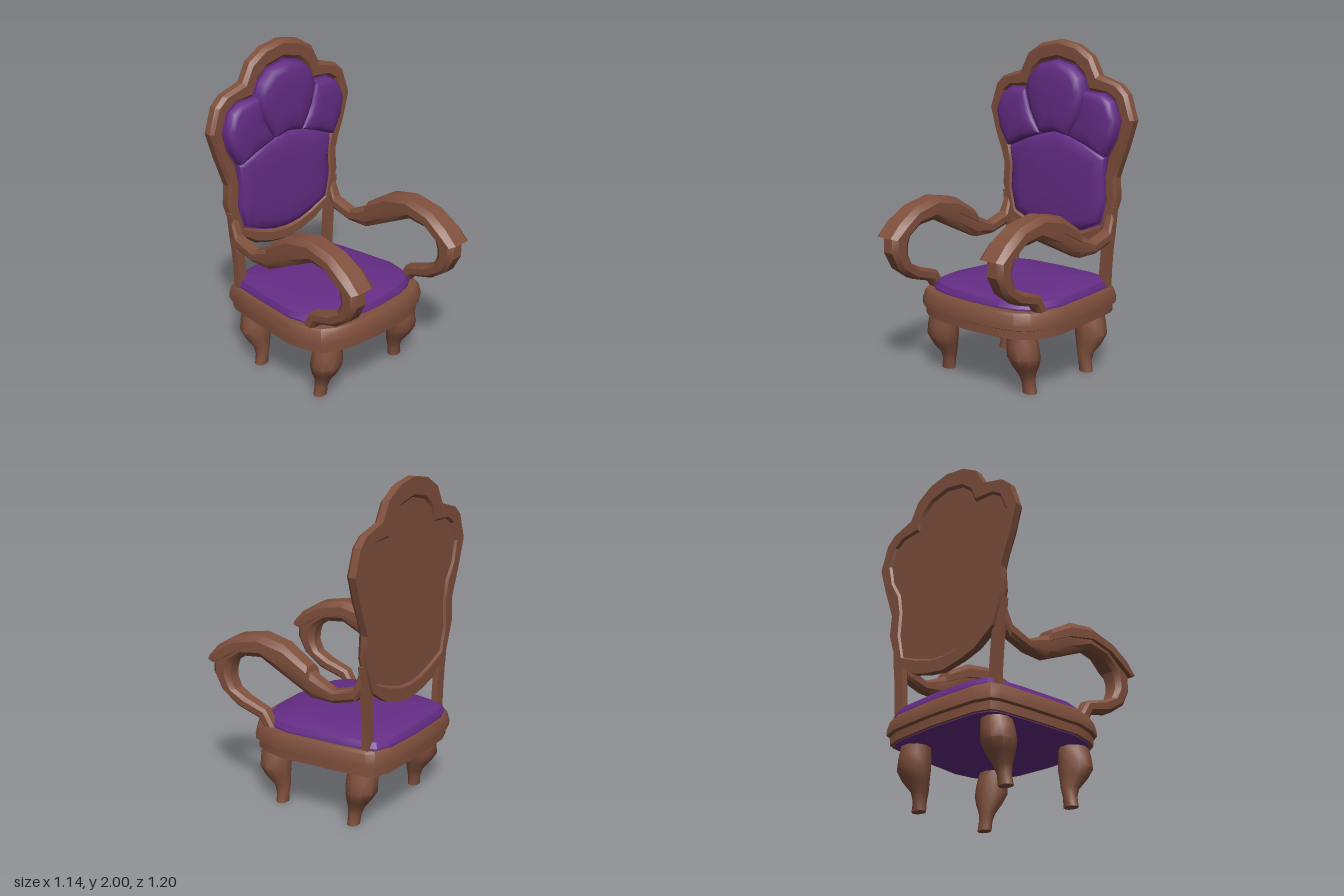
import * as THREE from 'three';
import { toCreasedNormals } from 'three/addons/utils/BufferGeometryUtils.js';

const wood = new THREE.MeshStandardMaterial({ color: 0x80503d });
wood.name = 'brown wood';
const fabric = new THREE.MeshStandardMaterial({ color: 0x652d86 });
fabric.name = 'purple fabric';

// Skin over a list of equal-sized point rings; ends are capped unless the rings form a closed loop
function loft(rings, crease = 0.6, closed = false) {
  const tris = [];
  const n = rings[0].length;
  const last = closed ? rings.length : rings.length - 1;
  for (let i = 0; i < last; i++) {
    const a = rings[i], b = rings[(i + 1) % rings.length];
    for (let j = 0; j < n; j++) {
      const k = (j + 1) % n;
      tris.push([a[j], a[k], b[k]], [a[j], b[k], b[j]]);
    }
  }
  if (!closed) {
    for (const [ring, flip] of [[rings[0], true], [rings[rings.length - 1], false]]) {
      const c = ring.reduce((s, p) => s.add(p), new THREE.Vector3()).divideScalar(n);
      for (let j = 0; j < n; j++) {
        const k = (j + 1) % n;
        tris.push(flip ? [ring[k], ring[j], c] : [ring[j], ring[k], c]);
      }
    }
  }
  // Turn the skin outward if its signed volume is negative
  const cross = new THREE.Vector3();
  const volume = tris.reduce((v, [a, b, c]) => v + a.dot(cross.crossVectors(b, c)), 0);
  const pts = tris.flatMap(t => (volume < 0 ? [t[0], t[2], t[1]] : t));
  const g = new THREE.BufferGeometry().setFromPoints(pts);
  return toCreasedNormals(g, crease);
}

const V = (x, y, z) => new THREE.Vector3(x, y, z);

// Full outline from a right half that starts and ends on the centre line
const mirrorHalf = half => [...half, ...half.slice(1, -1).reverse().map(([x, y]) => [-x, y])];

// Padded cushion rising towards +z from a flat outline
function puff(outline, zBack, zFront) {
  const n = outline.length;
  const cx = outline.reduce((s, p) => s + p[0], 0) / n;
  const cy = outline.reduce((s, p) => s + p[1], 0) / n;
  const steps = [[1, 0], [0.985, 0.45], [0.93, 0.75], [0.78, 0.92], [0.45, 1]];
  return loft(steps.map(([s, t]) => outline.map(([x, y]) =>
    V(cx + (x - cx) * s, cy + (y - cy) * s, zBack + (zFront - zBack) * t))), 0.9);
}

export function createModel() {
  const model = new THREE.Group();
  model.name = 'armchair';
  const add = (name, geometry, material = wood) => {
    const mesh = new THREE.Mesh(geometry, material);
    mesh.name = name;
    model.add(mesh);
  };

  // Seat: one outline, reused for frame, cushion and underside
  const seat = mirrorHalf([[0, 0.385], [0.23, 0.37], [0.36, 0.335], [0.44, 0.28], [0.475, 0.2],
    [0.502, 0.07], [0.465, -0.3], [0.435, -0.5], [0.41, -0.55], [0.31, -0.585], [0, -0.6]]);
  const seatRings = (levels, zc) => levels.map(([y, s]) =>
    seat.map(([x, z]) => V(x * s, y, (z + 0.11) * s + zc)));
  add('seatFrame', loft(seatRings([[0.362, 0.965], [0.412, 0.965], [0.42, 1], [0.45, 1],
    [0.5, 0.975], [0.516, 0.955]], -0.11), 0.4));
  add('seatCushion', loft(seatRings([[0.5, 0.91], [0.525, 0.91], [0.558, 0.875], [0.575, 0.8],
    [0.588, 0.4]], -0.135), 0.5), fabric);
  add('seatUnderside', loft(seatRings([[0.357, 0.93], [0.364, 0.93]], -0.11)), fabric);

  // Cabriole legs: y, centre x, centre z, radius x, radius z
  const legLevels = [[0.37, 0.315, 0.22, 0.085, 0.088], [0.3, 0.325, 0.217, 0.095, 0.095],
    [0.23, 0.332, 0.215, 0.1, 0.096], [0.17, 0.33, 0.198, 0.08, 0.076], [0.11, 0.322, 0.174, 0.05, 0.052],
    [0.06, 0.327, 0.167, 0.04, 0.04], [0, 0.335, 0.165, 0.046, 0.036]];
  for (const s of [1, -1]) {
    for (const front of [true, false]) {
      const rings = legLevels.map(([y, cx, cz, rx, rz]) => Array.from({ length: 10 }, (_, i) => {
        const a = (i / 10) * Math.PI * 2;
        const z = cz + rz * Math.sin(a);
        return V(s * (cx + rx * Math.cos(a)), y, front ? z : -0.19 - z);
      }));
      add(front ? 'frontLeg' : 'backLeg', loft(rings, 0.8));
    }
  }

  // Back frame: a bevelled profile swept between the outer and inner outlines
  const outer = mirrorHalf([[0, 2], [0.14, 1.975], [0.25, 1.91], [0.31, 1.8], [0.46, 1.755], [0.52, 1.7],
    [0.57, 1.55], [0.52, 1.39], [0.475, 1.27], [0.45, 1.2], [0.46, 1.07], [0.39, 0.86],
    [0.25, 0.765], [0.13, 0.73], [0, 0.71]]);
  const inner = mirrorHalf([[0, 1.885], [0.13, 1.855], [0.205, 1.79], [0.24, 1.705], [0.37, 1.7],
    [0.435, 1.66], [0.482, 1.55], [0.457, 1.43], [0.392, 1.325], [0.37, 1.2], [0.38, 1.05],
    [0.345, 0.9], [0.22, 0.85], [0.105, 0.815], [0, 0.805]]);
  const between = (t, z) => outer.map(([x, y], i) =>
    V(x + (inner[i][0] - x) * t, y + (inner[i][1] - y) * t, z));
  add('backFrame', loft([[0, -0.518], [0, -0.475], [0.2, -0.453], [0.8, -0.453], [1, -0.472], [1, -0.505],
    [0.85, -0.518]].map(([t, z]) => between(t, z)), 0.4, true));
  add('backPanel', loft([between(0.98, -0.504), between(0.98, -0.485)]));
  add('backLining', loft([between(0.99, -0.484), between(0.99, -0.465)]), fabric);

  // Back upholstery: broad lower pad, central lobe and two side lobes
  add('lowerBackCushion', puff(mirrorHalf([[0, 1.445], [0.18, 1.4], [0.383, 1.315], [0.363, 1.2],
    [0.372, 1.05], [0.338, 0.91], [0.215, 0.855], [0.105, 0.822], [0, 0.812]]), -0.468, -0.418), fabric);
  add('centreBackLobe', puff(mirrorHalf([[0, 1.878], [0.13, 1.848], [0.2, 1.785], [0.228, 1.7],
    [0.2, 1.58], [0.155, 1.49], [0.11, 1.42], [0, 1.44]]), -0.468, -0.388), fabric);
  const sideLobe = [[0.228, 1.7], [0.36, 1.695], [0.432, 1.655], [0.476, 1.55], [0.45, 1.43],
    [0.385, 1.318], [0.25, 1.375], [0.112, 1.42], [0.155, 1.49], [0.2, 1.58]];
  for (const s of [1, -1]) {
    add('sideBackLobe', puff(sideLobe.map(([x, y]) => [s * x, y]), -0.468, -0.398), fabric);
  }

  // Arms: stations give upper z, y, lower z, y and half width
  const railStations = [[-0.46, 0.99, -0.48, 0.87, 0.03], [-0.42, 0.885, -0.43, 0.805, 0.036],
    [-0.28, 0.84, -0.29, 0.768, 0.04], [-0.1, 0.925, -0.14, 0.77, 0.045], [0.05, 1.03, 0.03, 0.85, 0.05],
    [0.22, 1.065, 0.22, 0.94, 0.055], [0.39, 1.025, 0.35, 0.925, 0.06], [0.51, 0.95, 0.43, 0.87, 0.06],
    [0.572, 0.87, 0.449, 0.815, 0.06], [0.575, 0.785, 0.45, 0.76, 0.059], [0.52, 0.68, 0.42, 0.7, 0.055],
    [0.405, 0.6, 0.34, 0.66, 0.048], [0.245, 0.555, 0.2, 0.615, 0.04], [0.205, 0.49, 0.13, 0.5, 0.035]];
  const padStations = [[-0.115, 0.95, -0.135, 0.87, 0.06], [0.05, 1.05, 0.03, 0.95, 0.065],
    [0.22, 1.08, 0.22, 0.995, 0.075], [0.4, 1.04, 0.37, 0.965, 0.083], [0.52, 0.965, 0.47, 0.9, 0.092],
    [0.6, 0.88, 0.54, 0.86, 0.088]];
  // Cross-sections: side position (-1..1) and fraction from upper to lower edge
  const railSection = [[-0.6, 0], [0.6, 0], [1, 0.25], [1, 0.75], [0.6, 1], [-0.6, 1], [-1, 0.75], [-1, 0.25]];
  const padSection = [[-0.6, 0], [0.6, 0], [1, 0.4], [1, 1], [-1, 1], [-1, 0.4]];
  const armRings = (stations, section, s) => stations.map(([uz, uy, lz, ly, w]) =>
    section.map(([x, t]) => V(s * (0.417 + x * w), uy + (ly - uy) * t, uz + (lz - uz) * t)));
  const postLevels = [[0.5, 0.378], [0.62, 0.38], [0.76, 0.39], [0.88, 0.405], [1.02, 0.418]];
  for (const s of [1, -1]) {
    add('armRail', loft(armRings(railStations, railSection, s), 0.5));
    add('armPad', loft(armRings(padStations, padSection, s), 0.4));
    // Post joining the seat to the back frame
    add('backPost', loft(postLevels.map(([y, x]) => [[-1, -0.498], [1, -0.498], [1, -0.457], [-1, -0.457]]
      .map(([e, z]) => V(s * (x + e * 0.033), y, z))), 0.4));
  }
  return model;
}
